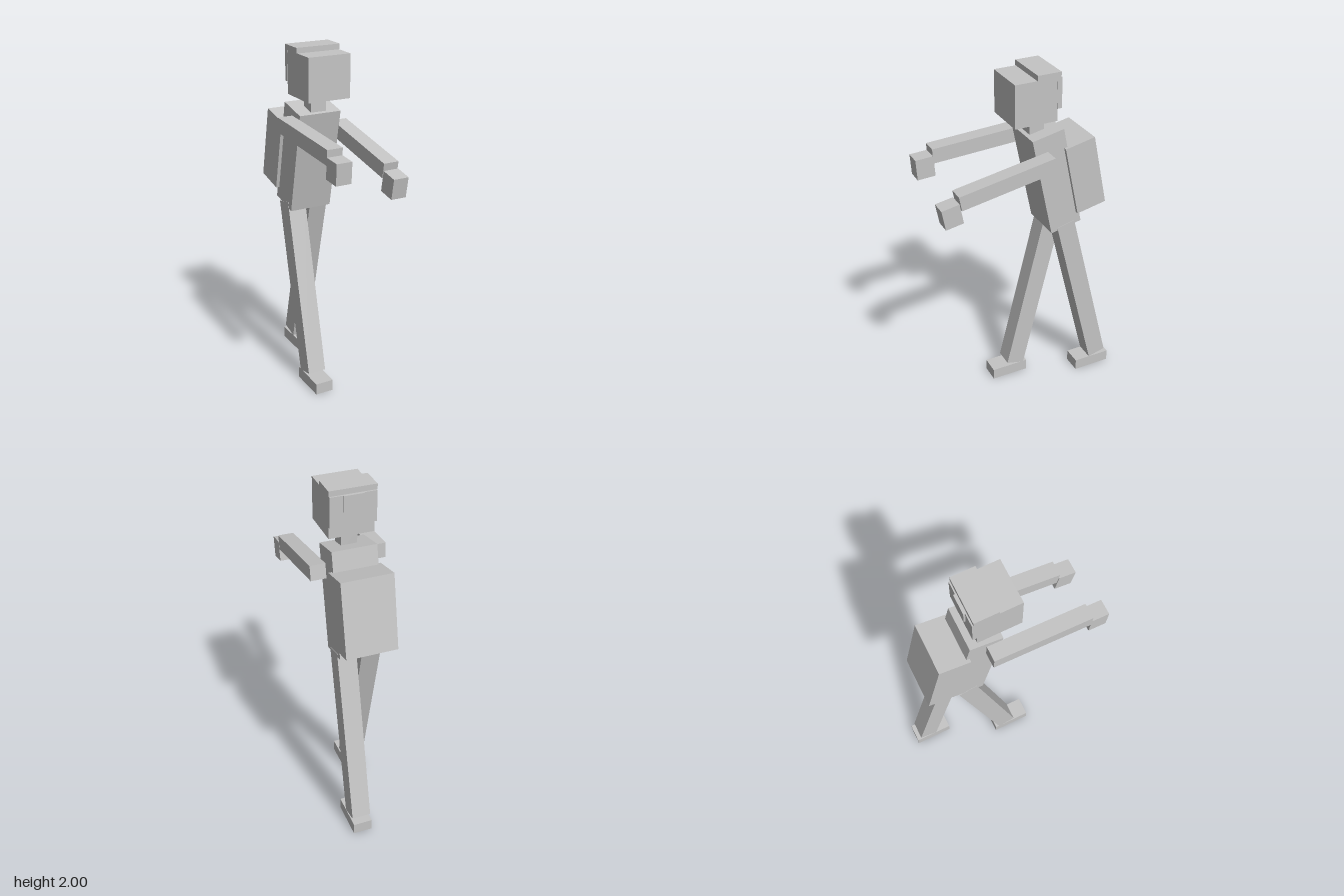
import * as THREE from 'three';

export function createModel() {
  const root = new THREE.Group();
  root.name = 'blockyWalker';

  const grey = new THREE.MeshStandardMaterial({ color: 0xc4c4c4 });
  grey.name = 'plain grey';

  // box given by size and centre, pitched about x in degrees
  function block(name, size, centre, pitch = 0, parent = root) {
    const mesh = new THREE.Mesh(new THREE.BoxGeometry(...size), grey);
    mesh.name = name;
    mesh.position.set(...centre);
    mesh.rotation.x = THREE.MathUtils.degToRad(pitch);
    parent.add(mesh);
    return mesh;
  }

  // head with cap, back panel and its small raised patch
  const head = new THREE.Group();
  head.name = 'headGroup';
  root.add(head);
  block('head', [0.25, 0.24, 0.245], [0, 1.85, -0.029], 0, head);
  block('cap', [0.26, 0.03, 0.135], [0, 1.985, -0.1], 0, head);
  block('headBackPanel', [0.254, 0.17, 0.027], [0, 1.884, -0.1615], 0, head);
  block('headBackPatch', [0.11, 0.09, 0.012], [0, 1.925, -0.179], 0, head);
  block('neck', [0.09, 0.12, 0.085], [0, 1.68, -0.073], 0, head);

  // leaning torso and pack
  block('torso', [0.25, 0.6, 0.189], [0, 1.363, -0.162], 11.8);
  block('backpack', [0.29, 0.422, 0.18], [0, 1.375, -0.328], 11.8);

  // arms stretched forward, each with a hanging hand
  const arms = [
    { side: 'left', x: 0.168, arm: [1.472, 0.169], hand: [1.358, 0.49], pitch: 10.1 },
    { side: 'right', x: -0.168, arm: [1.562, 0.176], hand: [1.487, 0.5], pitch: 3.2 },
  ];
  for (const a of arms) {
    block(a.side + 'Arm', [0.088, 0.084, 0.56], [a.x, ...a.arm], a.pitch);
    block(a.side + 'Hand', [0.088, 0.117, 0.102], [a.x, ...a.hand], a.pitch);
  }

  // striding legs and flat feet
  const legs = [
    { side: 'left', x: 0.072, leg: [0.585, -0.345], footZ: -0.435, pitch: 13.9 },
    { side: 'right', x: -0.072, leg: [0.579, -0.096], footZ: 0.064, pitch: -13.9 },
  ];
  for (const l of legs) {
    block(l.side + 'Leg', [0.109, 1.035, 0.11], [l.x, ...l.leg], l.pitch);
    block(l.side + 'Foot', [0.109, 0.068, 0.224], [l.x, 0.034, l.footZ]);
  }

  return root;
}
